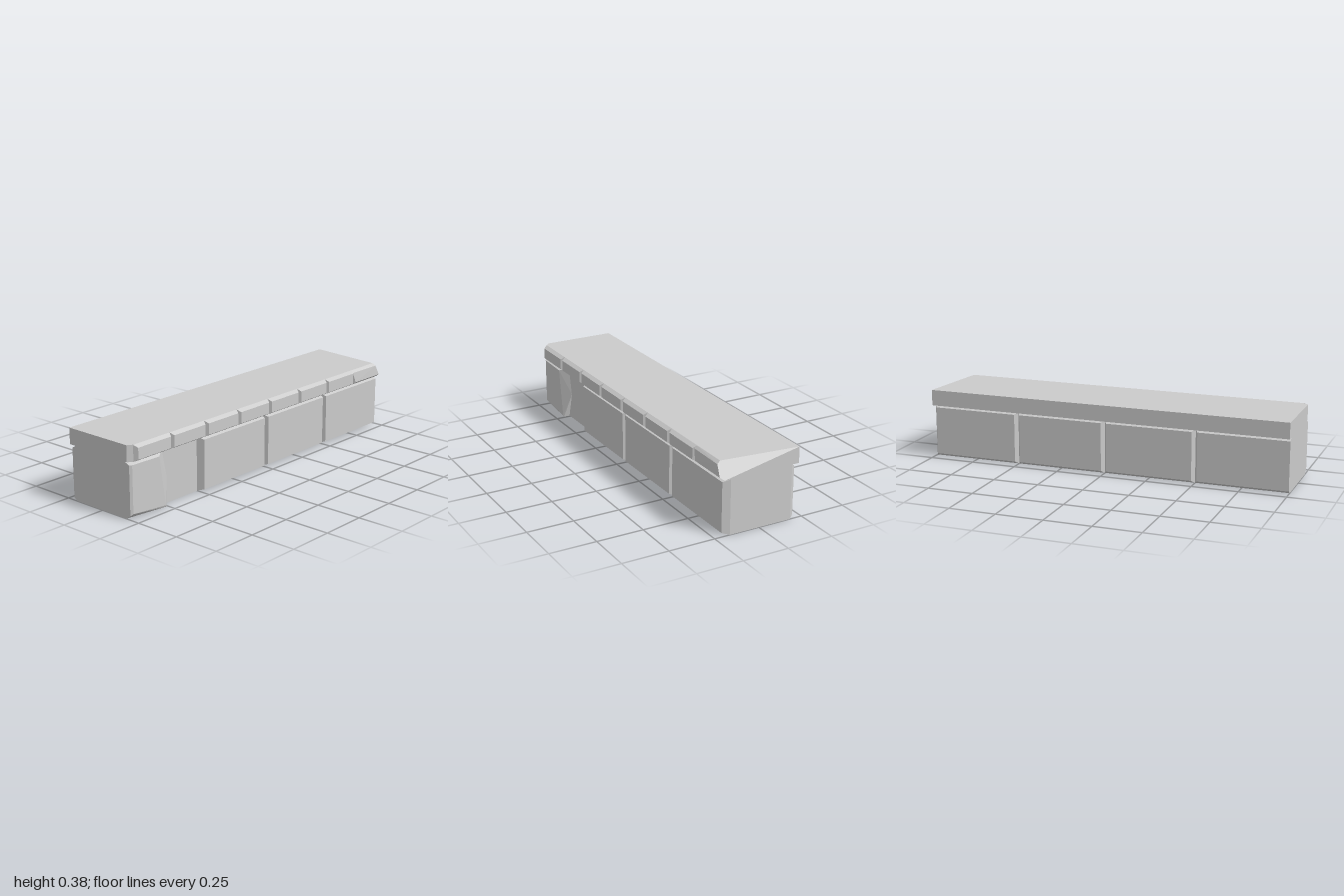
import * as THREE from 'three';
import { ConvexGeometry } from 'three/addons/geometries/ConvexGeometry.js';

const material = new THREE.MeshStandardMaterial({ color: 0xcccccc, flatShading: true });

export function createModel() {
  const group = new THREE.Group();

  // solid stone from its corner points
  const stone = (name, points) => {
    const mesh = new THREE.Mesh(new ConvexGeometry(points.map(p => new THREE.Vector3(...p))), material);
    mesh.name = name;
    group.add(mesh);
  };
  const rect = (x0, x1, y0, y1, z) => [[x0, y0, z], [x1, y0, z], [x1, y1, z], [x0, y1, z]];

  // bevelled block: wide base at zBase, inset face at zFace
  const block = (name, x0, x1, y0, y1, zBase, zFace, bx, by, endBevel = bx) =>
    stone(name, [
      ...rect(x0, x1, y0, y1, zBase),
      ...rect(x0 + endBevel, x1 - bx, y0 + by, y1 - by, zFace),
    ]);

  // lower wall core
  stone('wallCore', [...rect(-1, 1, 0, 0.292, -0.182), ...rect(-1, 1, 0, 0.292, 0.165)]);

  // raised front blocks; the bay beside the chipped block stays recessed
  for (const x of [-0.5, 0, 0.5]) {
    block('frontBlock', x, x + 0.5, 0, 0.292, 0.165, 0.204, 0.015, 0.013);
  }

  // chipped block at the right end of the front
  stone('chippedFrontBlock', [
    [-1, 0, 0.165], [-1, 0.292, 0.165], [-0.75, 0.292, 0.165],
    [-0.72, 0.145, 0.165], [-0.76, 0, 0.165],
    [-1, 0.02, 0.195], [-1, 0.28, 0.195], [-0.76, 0, 0.2],
    [-0.988, 0.03, 0.204], [-0.988, 0.28, 0.204], [-0.805, 0.275, 0.204],
    [-0.795, 0.145, 0.204], [-0.765, 0.01, 0.204],
  ]);

  // back blocks, the last one running flush to the end
  for (const x of [-1, -0.5, 0, 0.5]) {
    block('backBlock', x, x + 0.5, 0, 0.292, -0.182, -0.205, 0.015, 0.015, x === -1 ? 0 : 0.015);
  }

  // capping slab with one worn top corner
  stone('capSlab', [
    ...rect(-1, 1, 0.292, 0.378, -0.222),
    [-1, 0.292, 0.18], [-1, 0.378, 0.18], [-0.97, 0.292, 0.2], [-0.97, 0.378, 0.2],
    [1, 0.292, 0.2], [0.955, 0.378, 0.2],
  ]);

  // row of bevelled edge stones along the cap
  for (let i = 0; i < 7; i++) {
    const x = -0.975 + i * 0.2465;
    block('capEdgeStone', x, x + 0.2465, 0.292, 0.378, 0.2, 0.222, 0.012, 0.013);
  }

  // worn end stone of the cap
  stone('wornCapEdgeStone', [
    [0.75, 0.292, 0.2], [1, 0.292, 0.2], [0.955, 0.378, 0.2], [0.73, 0.378, 0.2],
    [0.765, 0.308, 0.222], [0.99, 0.308, 0.222], [0.96, 0.365, 0.218], [0.745, 0.365, 0.215],
  ]);

  return group;
}
